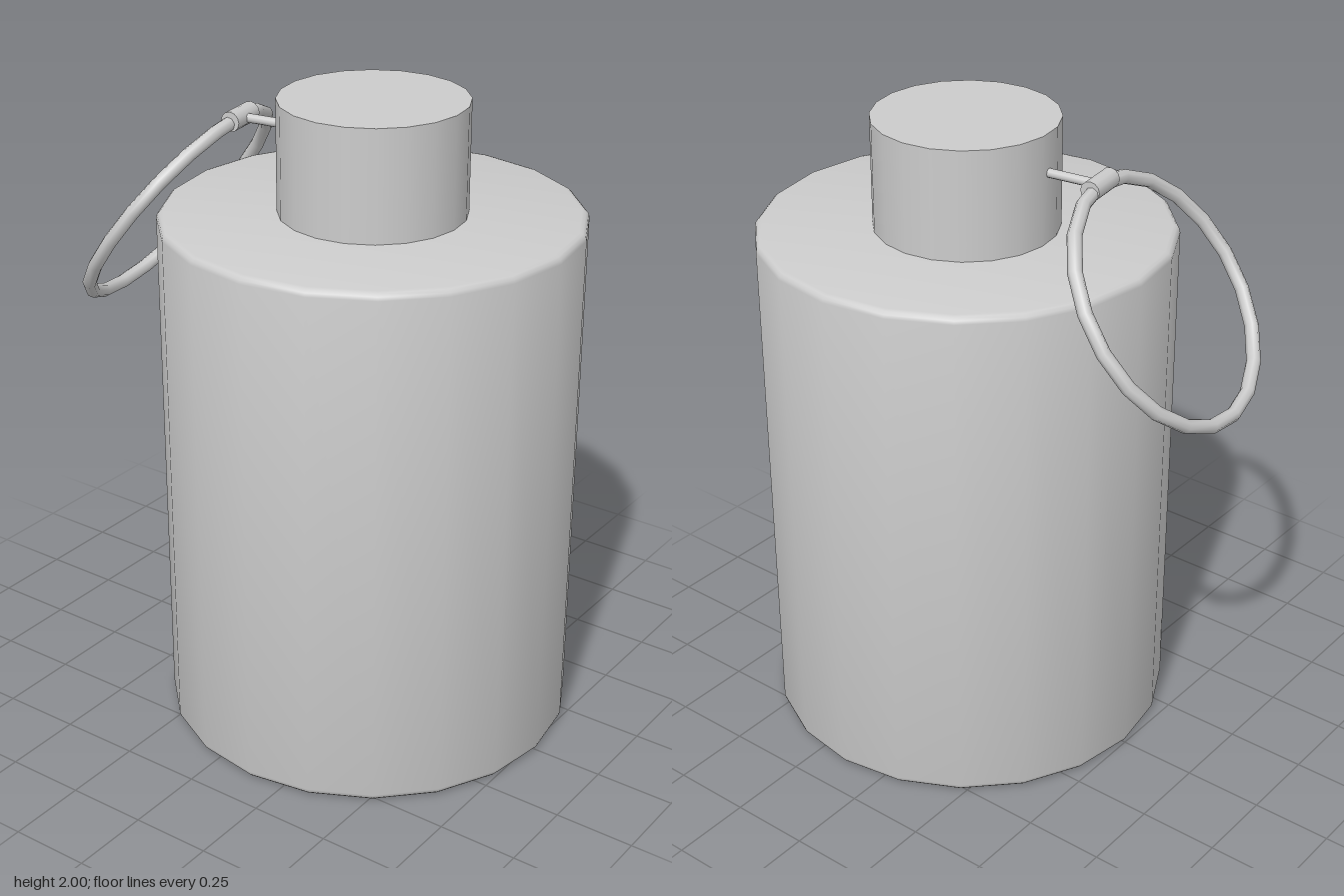
import * as THREE from 'three';
import { toCreasedNormals } from 'three/addons/utils/BufferGeometryUtils.js';

const SIDES = 20;
const AXIS_X = 0.14;

export function createModel() {
  const model = new THREE.Group();
  const material = new THREE.MeshStandardMaterial({ color: 0xcccccc });

  const add = (parent, name, geometry, x, y, z) => {
    const mesh = new THREE.Mesh(geometry, material);
    mesh.name = name;
    mesh.position.set(x, y, z);
    parent.add(mesh);
    return mesh;
  };

  // Main canister with small rounded rims at both ends
  const radius = 0.64, height = 1.657, bevel = 0.022;
  const profile = [new THREE.Vector2(0, 0)];
  for (const [centreY, start] of [[bevel, -Math.PI / 2], [height - bevel, 0]]) {
    for (let i = 0; i <= 3; i++) {
      const a = start + (i / 3) * (Math.PI / 2);
      profile.push(new THREE.Vector2(radius - bevel + bevel * Math.cos(a), centreY + bevel * Math.sin(a)));
    }
  }
  profile.push(new THREE.Vector2(0, height));
  add(model, 'body', toCreasedNormals(new THREE.LatheGeometry(profile, SIDES), 0.6), AXIS_X, 0, 0);

  // Cap
  add(model, 'cap', new THREE.CylinderGeometry(0.284, 0.284, 0.36, SIDES), AXIS_X, 1.82, 0);

  // Pull ring assembly, turned slightly around the canister axis
  const pull = new THREE.Group();
  pull.name = 'pullRing';
  pull.position.x = AXIS_X;
  pull.rotation.y = 0.13;
  model.add(pull);

  const pivotX = -0.449, pivotY = 1.876;
  add(pull, 'pin', new THREE.CylinderGeometry(0.014, 0.014, 0.21, 10).rotateZ(Math.PI / 2), -0.345, pivotY, 0);
  add(pull, 'barrel', new THREE.CylinderGeometry(0.031, 0.031, 0.122, 12).rotateX(Math.PI / 2), pivotX, pivotY, 0);

  // Ring hangs outward and down from the barrel
  const ringRadius = 0.385, tilt = 0.632;
  const ring = new THREE.TorusGeometry(ringRadius, 0.022, 8, 20).rotateY(Math.PI / 2).rotateZ(-tilt);
  add(pull, 'ring', ring, pivotX - ringRadius * Math.sin(tilt), pivotY - ringRadius * Math.cos(tilt), 0);

  return model;
}
